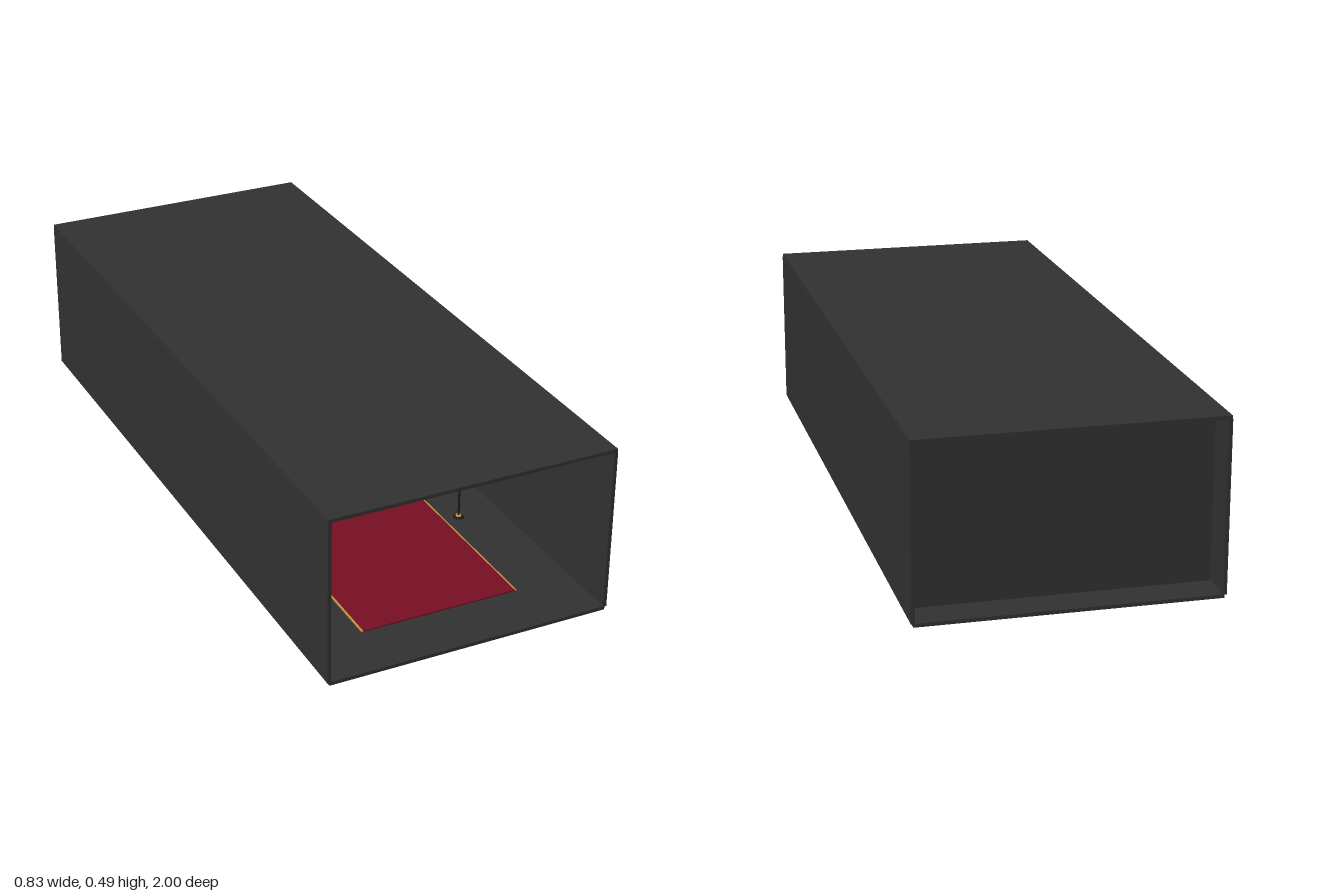
import * as THREE from 'three';

const mat = (name, color) => {
  const m = new THREE.MeshStandardMaterial({ color });
  m.name = name;
  return m;
};

export function createModel() {
  const shell = mat('charcoal', 0x323232);
  const dark = mat('nearBlack', 0x1a1a1a);
  const red = mat('crimson', 0x780e24);
  const deepRed = mat('deepCrimson', 0x45081a);
  const gold = mat('gold', 0xc8963c);
  const cream = mat('cream', 0xe8e2ce);
  const root = new THREE.Group();
  root.name = 'theatreHall';

  const add = (name, geo, m, x = 0, y = 0, z = 0, parent = root) => {
    const mesh = new THREE.Mesh(geo, m);
    mesh.name = name;
    mesh.position.set(x, y, z);
    parent.add(mesh);
    return mesh;
  };
  const box = (name, m, w, h, d, x, y, z, parent) =>
    add(name, new THREE.BoxGeometry(w, h, d), m, x, y, z, parent);
  const ball = (name, r, x, y, z, parent) =>
    add(name, new THREE.SphereGeometry(r, 10, 8), gold, x, y, z, parent);
  const cyl = (name, m, r0, r1, h, x, y, z, parent) =>
    add(name, new THREE.CylinderGeometry(r0, r1, h, 12), m, x, y, z, parent);
  const tube = (name, m, points, r, parent) =>
    add(name, new THREE.TubeGeometry(
      new THREE.CatmullRomCurve3(points.map(p => new THREE.Vector3(...p))), 16, r, 6), m, 0, 0, 0, parent);

  // Hall shell: open front, recessed back wall
  box('floor', shell, 0.82, 0.01, 2, 0, 0.005, 0);
  box('ceiling', shell, 0.83, 0.01, 2, 0, 0.488, 0);
  for (const s of [-1, 1]) box('sideWall', shell, 0.01, 0.475, 2, s * 0.411, 0.2465, 0);
  box('backWall', shell, 0.812, 0.474, 0.01, 0, 0.2465, -0.895);

  // Carpet with gold edging
  box('carpet', red, 0.46, 0.004, 1.65, 0, 0.012, 0.008);
  for (const s of [-1, 1]) box('carpetTrim', gold, 0.005, 0.004, 1.65, s * 0.2325, 0.0115, 0.008);

  // Ceiling rail with small lamps
  box('ceilingRail', dark, 0.8, 0.006, 0.012, 0, 0.477, 0.3);
  for (const x of [-0.34, -0.27, -0.17, 0.17, 0.27, 0.34])
    cyl('ceilingLamp', dark, 0.004, 0.006, 0.006, x, 0.474, 0.3);

  // Curtain: flat backing with rounded folds and dark valleys
  const curtain = new THREE.Group();
  curtain.name = 'curtain';
  root.add(curtain);
  box('curtainBacking', red, 0.706, 0.44, 0.01, 0, 0.248, -0.87, curtain);
  const folds = (x0, x1, n, z, y0, y1) => {
    const step = (x1 - x0) / n;
    for (let i = 0; i < n; i++) {
      const x = x0 + (i + 0.5) * step;
      const bottom = y0 + 0.004 * Math.abs(Math.sin(i * 2.1));
      cyl('curtainFold', red, step * 0.38, step * 0.42, y1 - bottom, x, (y1 + bottom) / 2, z, curtain);
      if (i) cyl('curtainValley', deepRed, step * 0.22, step * 0.22, y1 - y0 - 0.01,
        x - step / 2, (y0 + y1) / 2, z, curtain);
    }
  };
  folds(-0.255, 0.255, 20, -0.855, 0.036, 0.46);
  for (const s of [-1, 1]) {
    folds(s > 0 ? 0.25 : -0.355, s > 0 ? 0.355 : -0.25, 8, -0.835, 0.038, 0.453);
    for (let i = 0; i < 9; i++) ball('railBead', 0.003, s * (0.25 + i * 0.009), 0.436, -0.825, curtain);
    tube('curtainCord', gold, [[s * 0.3, 0.43, -0.825], [s * 0.275, 0.42, -0.82], [s * 0.25, 0.409, -0.82]],
      0.002, curtain);
    ball('tiebackKnob', 0.0075, s * 0.276, 0.178, -0.822, curtain);
    ball('tiebackKnob', 0.005, s * 0.275, 0.215, -0.822, curtain);
  }

  // Hanging letter-board sign framed with bulbs
  const sign = new THREE.Group();
  sign.name = 'marqueeSign';
  sign.position.set(0, 0.402, -0.77);
  root.add(sign);
  box('signCase', shell, 0.5, 0.134, 0.05, 0, 0, 0, sign);
  box('signPanel', cream, 0.455, 0.11, 0.006, 0, 0.001, 0.027, sign);
  for (const y of [-0.026, 0, 0.026]) box('signRail', dark, 0.45, 0.003, 0.002, 0, y, 0.031, sign);
  for (const s of [-1, 1]) {
    for (let i = 0; i < 20; i++) ball('signBulb', 0.005, -0.2325 + i * 0.02447, s * 0.059, 0.028, sign);
    for (let i = 0; i < 5; i++) ball('signBulb', 0.005, s * 0.239, -0.038 + i * 0.0225, 0.028, sign);
    box('signHanger', dark, 0.006, 0.016, 0.006, s * 0.2, 0.074, 0, sign);
  }

  // Rope barriers along both sides of the carpet
  const postZ = [0.426, 0.23, 0.034, -0.162];
  for (const s of [-1, 1]) {
    const barrier = new THREE.Group();
    barrier.name = 'ropeBarrier';
    root.add(barrier);
    const x = s * 0.28;
    postZ.forEach((z, i) => {
      cyl('postBase', dark, 0.013, 0.016, 0.005, x, 0.0125, z, barrier);
      cyl('postCollar', gold, 0.008, 0.009, 0.003, x, 0.0165, z, barrier);
      cyl('post', dark, 0.003, 0.003, 0.095, x, 0.064, z, barrier);
      ball('postFinial', 0.005, x, 0.115, z, barrier);
      if (i) tube('rope', red,
        [[x, 0.106, postZ[i - 1]], [x, 0.085, (z + postZ[i - 1]) / 2], [x, 0.106, z]], 0.003, barrier);
    });
  }

  // Framed panels on the side walls
  for (const s of [-1, 1]) {
    const top = s > 0 ? 0.41 : 0.36;
    const h = top - 0.096;
    for (const z of [0.25, -0.15, -0.5]) {
      box('wallFrame', dark, 0.01, h, 0.19, s * 0.401, 0.096 + h / 2, z);
      box('wallPanel', shell, 0.004, h - 0.02, 0.17, s * 0.395, 0.096 + h / 2, z);
    }
  }
  return root;
}
